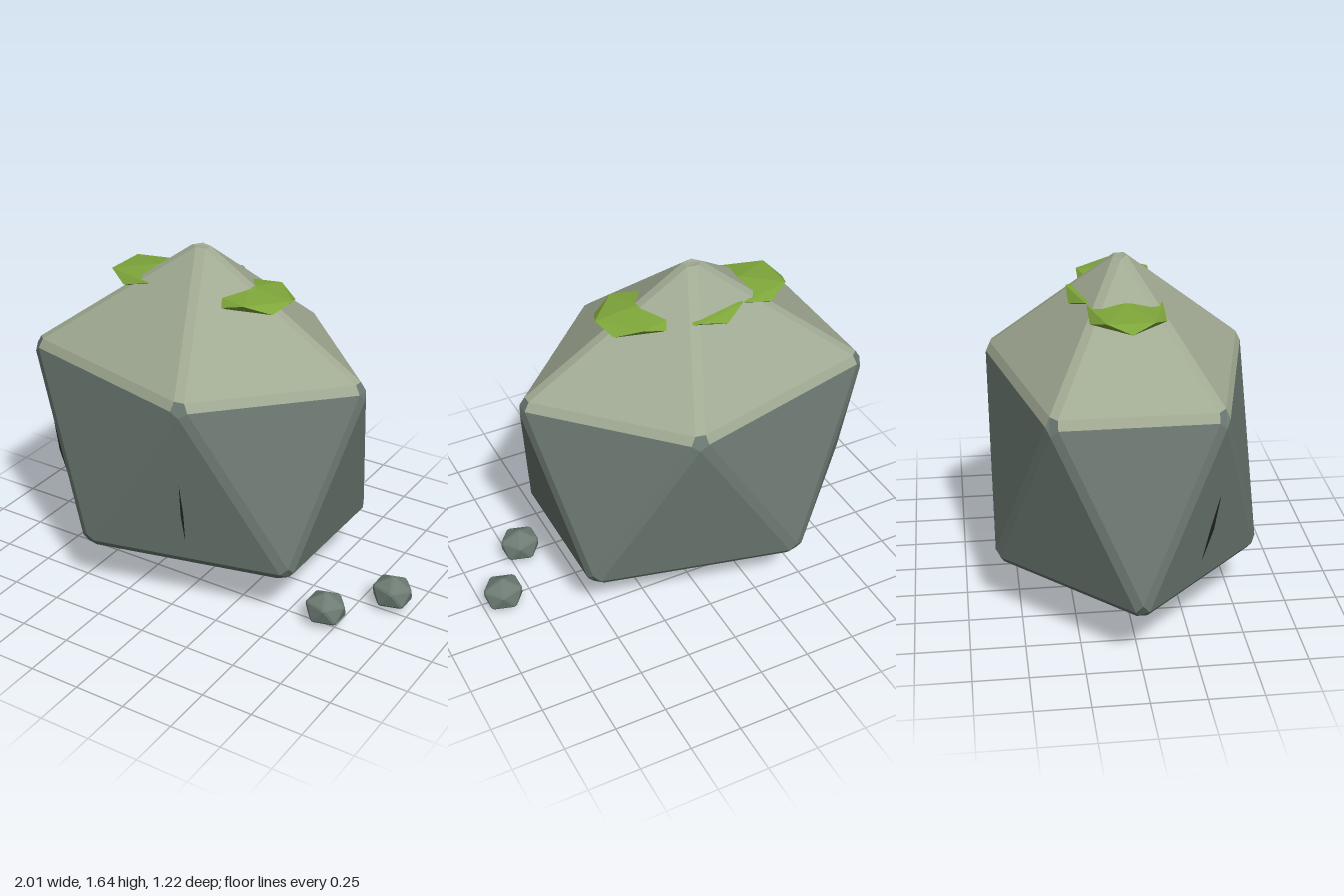
import * as THREE from 'three';

const mat = (color) => new THREE.MeshStandardMaterial({ color, flatShading: true });
const STONE = mat(0x6d7b73), PALE = mat(0xa0a992), MOSS = mat(0x7ea63a), DARK = mat(0x1c1f1d);

// Icosahedron standing on a vertex: 0 = top, 1-5 upper ring, 6-10 lower ring, 11 = bottom
function icoPoints(rx, ry, rz, bottom) {
  const pts = [new THREE.Vector3(0, ry, 0)];
  for (const [level, turn] of [[1, 0], [-1, 0.5]]) {
    for (let i = 0; i < 5; i++) {
      const a = (i + turn) * Math.PI * 0.4;
      pts.push(new THREE.Vector3(0.8944 * rx * Math.cos(a), 0.4472 * ry * level, 0.8944 * rz * Math.sin(a)));
    }
  }
  pts.push(new THREE.Vector3(0, -bottom, 0));
  return pts;
}

function icoFaces() {
  const faces = [];
  for (let i = 0; i < 5; i++) {
    const j = (i + 1) % 5;
    faces.push([0, 1 + i, 1 + j], [1 + i, 1 + j, 6 + i], [6 + i, 6 + j, 1 + j], [11, 6 + i, 6 + j]);
  }
  return faces;
}

// Adds a convex polygon as a fan, its corners ordered to face outward
function addPolygon(out, points) {
  const c = new THREE.Vector3();
  points.forEach((p) => c.addScaledVector(p, 1 / points.length));
  const n = points[1].clone().sub(points[0]).cross(points[2].clone().sub(points[0])).normalize();
  if (n.dot(c) < 0) n.negate();
  const u = points[0].clone().sub(c).projectOnPlane(n).normalize();
  const v = n.clone().cross(u);
  const angle = (p) => Math.atan2(p.clone().sub(c).dot(v), p.clone().sub(c).dot(u));
  const ring = [...points].sort((a, b) => angle(a) - angle(b));
  for (let i = 1; i < ring.length - 1; i++) {
    for (const p of [ring[0], ring[i], ring[i + 1]]) out.push(p.x, p.y, p.z);
  }
}

function toMesh(name, positions, material) {
  const g = new THREE.BufferGeometry();
  g.setAttribute('position', new THREE.Float32BufferAttribute(positions, 3));
  g.computeVertexNormals();
  const m = new THREE.Mesh(g, material);
  m.name = name;
  return m;
}

// Bevelled icosahedron: inset faces, joined by edge strips and corner caps
function bevelledStone(name, [rx, ry, rz], bottom, bevel, material, capMaterial = material) {
  const pts = icoPoints(rx, ry, rz, bottom);
  const body = [], cap = [];
  const faces = icoFaces().map((ids) => {
    const corners = {};
    ids.forEach((id, k) => {
      const p = pts[id];
      const a = pts[ids[(k + 1) % 3]].clone().sub(p).normalize();
      const b = pts[ids[(k + 2) % 3]].clone().sub(p).normalize();
      corners[id] = p.clone().addScaledVector(a.clone().add(b), bevel / Math.sin(a.angleTo(b)));
    });
    return { ids, corners, top: ids.includes(0) };
  });
  faces.forEach((f, i) => {
    addPolygon(f.top ? cap : body, Object.values(f.corners));
    for (const g of faces.slice(i + 1)) {
      const edge = f.ids.filter((id) => g.ids.includes(id));
      if (edge.length === 2) {
        addPolygon(f.top || g.top ? cap : body, edge.flatMap((id) => [f.corners[id], g.corners[id]]));
      }
    }
  });
  pts.forEach((p, id) => {
    const around = faces.filter((f) => f.ids.includes(id)).map((f) => f.corners[id]);
    addPolygon(id === 0 ? cap : body, around);
  });
  const group = new THREE.Group();
  group.name = name;
  group.add(toMesh(name + 'Body', body, material), toMesh(name + 'Top', cap, capMaterial));
  return group;
}

export function createModel() {
  const model = new THREE.Group();
  model.name = 'mossyBoulder';

  // Boulder with a pale top
  const boulder = bevelledStone('boulder', [0.985, 0.97, 0.725], 0.695, 0.025, STONE, PALE);
  boulder.position.set(-0.14, 0.705, 0);
  model.add(boulder);

  // Flat moss pads sunk into the upper slopes
  [[-0.395, 1.455, 0], [0.122, 1.455, 0], [-0.13, 1.46, -0.07]].forEach((p, i) => {
    const positions = [];
    const pts = icoPoints(0.25, 0.042, 0.2, 0.042);
    icoFaces().forEach((ids) => addPolygon(positions, ids.map((id) => pts[id])));
    const moss = toMesh('moss' + (i + 1), positions, MOSS);
    moss.position.set(...p);
    model.add(moss);
  });

  // Thin cracks following the front faces
  [[-0.76, 0.56, 0.336, 0.24], [0.095, 0.56, 0.54, 0.14]].forEach(([x, y, z, tilt], i) => {
    const crack = new THREE.Mesh(new THREE.OctahedronGeometry(1), DARK);
    crack.name = 'crack' + (i + 1);
    crack.scale.set(0.006, 0.165, 0.012);
    crack.position.set(x, y, z);
    crack.rotation.x = tilt;
    model.add(crack);
  });

  // Pebbles beside the boulder
  [[0.695, 0.24], [0.9, -0.045]].forEach(([x, z], i) => {
    const pebble = bevelledStone('pebble' + (i + 1), [0.112, 0.09, 0.101], 0.09, 0.006, STONE);
    pebble.position.set(x, 0.086, z);
    model.add(pebble);
  });

  return model;
}
